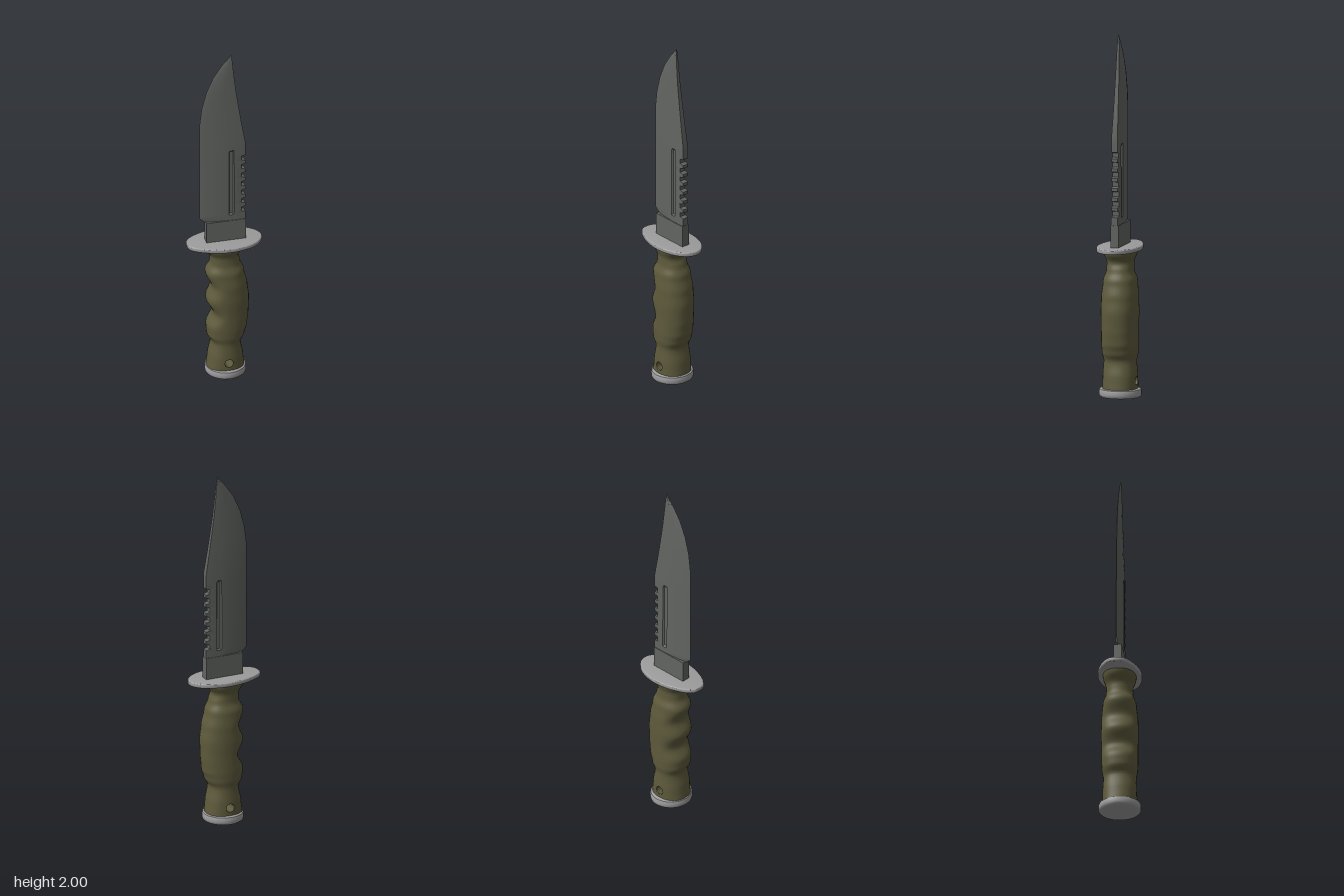
import * as THREE from 'three';
import { toCreasedNormals } from 'three/addons/utils/BufferGeometryUtils.js';

const steel = new THREE.MeshStandardMaterial({ color: 0x626562 });
steel.name = 'dark steel';
const metal = new THREE.MeshStandardMaterial({ color: 0x9c9c9c });
metal.name = 'light metal';
const grip = new THREE.MeshStandardMaterial({ color: 0x5e5a3c, side: THREE.DoubleSide });
grip.name = 'olive grip';

// Skin over closed rings (counter-clockwise from above, listed bottom to top), capped at both ends
function loft(rings, skip = () => false) {
  const n = rings[0].length, last = rings.length - 1, pos = rings.flat(2), idx = [];
  for (let i = 0; i < last; i++) {
    for (let j = 0; j < n; j++) {
      if (skip(i, j)) continue;
      const a = i * n + j, b = i * n + (j + 1) % n;
      idx.push(a, b, b + n, a, b + n, a + n);
    }
  }
  [0, last].forEach((i) => {
    const c = pos.length / 3;
    for (let k = 0; k < 3; k++) pos.push(rings[i].reduce((s, p) => s + p[k], 0) / n);
    for (let j = 0; j < n; j++) {
      const a = i * n + j, b = i * n + (j + 1) % n;
      if (i) idx.push(a, b, c); else idx.push(b, a, c);
    }
  });
  const g = new THREE.BufferGeometry();
  g.setAttribute('position', new THREE.Float32BufferAttribute(pos, 3));
  g.setIndex(idx);
  return g;
}

// Interpolates rows of [y, value, value, ...]
function sample(keys, y, smooth) {
  let i = 0;
  while (i < keys.length - 2 && y > keys[i + 1][0]) i++;
  const a = keys[i], b = keys[i + 1];
  let t = THREE.MathUtils.clamp((y - a[0]) / (b[0] - a[0]), 0, 1);
  if (smooth) t = t * t * (3 - 2 * t);
  return a.slice(1).map((v, k) => v + (b[k + 1] - v) * t);
}

function bladeGeometry() {
  // y, cutting edge x, spine x, half thickness
  const keys = [
    [0.95, -0.105, 0.115, 0.02], [0.98, -0.138, 0.115, 0.02], [1.44, -0.138, 0.115, 0.019],
    [1.58, -0.138, 0.092, 0.015], [1.68, -0.126, 0.077, 0.013], [1.78, -0.1, 0.063, 0.011],
    [1.87, -0.06, 0.053, 0.009], [1.94, -0.012, 0.046, 0.007], [2, 0.039, 0.041, 0.003],
  ];
  // y, saw notch depth, fuller depth
  const rows = [[0.95, 0, 0], [0.98, 0, 0], [0.992, 0, 0]];
  for (let k = 0; k < 7; k++) {
    const y = 1.02 + k * 0.054;
    rows.push([y - 0.018, 0, 1], [y - 0.012, 0.023, 1], [y + 0.012, 0.023, 1], [y + 0.018, 0, 1]);
  }
  rows.push([1.39, 0, 1], [1.4, 0, 0]);
  for (const k of keys.slice(2)) rows.push([k[0], 0, 0]);
  // position across the blade, thickness factor, 1 inside the fuller
  const cols = [[0, 0, 0], [0.14, 0.5, 0], [0.5, 0.9, 0], [0.63, 1, 0], [0.655, 1, 1],
    [0.725, 1, 1], [0.75, 1, 0], [0.89, 1, 0], [1, 0.9, 0]];
  const rings = rows.map(([y, notch, fuller]) => {
    const [xl, xr, t] = sample(keys, y);
    const side = (s) => cols.map(([u, f, g], j) => [
      xl + u * (xr - xl) - (j === cols.length - 1 ? notch : 0), y, s * (t * f - g * fuller * 0.008)]);
    return [...side(1), ...side(-1).slice(1).reverse()];
  });
  return toCreasedNormals(loft(rings), 0.5);
}

const N = 32, HOLE = { x: 0.005, y: 0.09, r: 0.025 };

function handleGeometry() {
  // y, finger side x, palm side x, half depth
  const keys = [
    [0.04, -0.1, 0.108, 0.095], [0.1, -0.092, 0.102, 0.095], [0.2, -0.074, 0.086, 0.09],
    [0.25, -0.098, 0.11, 0.098], [0.3, -0.101, 0.125, 0.1], [0.38, -0.066, 0.132, 0.1],
    [0.47, -0.102, 0.135, 0.102], [0.55, -0.074, 0.126, 0.1], [0.64, -0.106, 0.108, 0.092],
    [0.7, -0.08, 0.086, 0.074], [0.74, -0.08, 0.072, 0.073], [0.8, -0.115, 0.105, 0.09],
    [0.815, -0.118, 0.108, 0.092],
  ];
  const ys = [0.04, 0.065, 0.09, 0.115];
  while (ys[ys.length - 1] < 0.81) ys.push(ys[ys.length - 1] + 0.0125);
  const power = (v) => Math.sign(v) * Math.abs(v) ** 0.88;
  const rings = ys.map((y) => {
    const [xl, xr, d] = sample(keys, y, true);
    return Array.from({ length: N }, (_, j) => {
      const a = (j / N) * Math.PI * 2, c = power(Math.cos(a));
      return [HOLE.x + c * (c > 0 ? xr - HOLE.x : HOLE.x - xl), y, -power(Math.sin(a)) * d];
    });
  });
  // Round the grid around the lanyard hole, on the back and the front
  for (const q of [N / 4, (3 * N) / 4]) {
    const dir = q > N / 2 ? 1 : -1;
    for (let di = -1; di <= 1; di++) {
      for (let dj = -1; dj <= 1; dj++) {
        if (!di && !dj) continue;
        const l = HOLE.r / Math.hypot(di, dj), p = rings[2 + di][q + dj];
        p[0] = HOLE.x + dir * dj * l;
        p[1] = HOLE.y + di * l;
      }
    }
  }
  const inHole = (i, j) => (i === 1 || i === 2) && [N / 4, (3 * N) / 4].some((q) => j === q || j === q - 1);
  return toCreasedNormals(loft(rings, inHole), 0.8);
}

function guardGeometry() {
  // Egg outline, mirrored across the blade plane
  const half = [[-0.21, 0], [-0.204, 0.035], [-0.175, 0.064], [-0.12, 0.092], [-0.05, 0.113],
    [0.02, 0.12], [0.09, 0.11], [0.15, 0.087], [0.195, 0.046], [0.21, 0]];
  const pts = [...half, ...half.slice(1, -1).reverse().map(([x, z]) => [x, -z])]
    .map(([x, z]) => new THREE.Vector3(x, z, 0));
  const outline = new THREE.CatmullRomCurve3(pts, true).getPoints(56).slice(0, -1);
  const g = new THREE.ExtrudeGeometry(new THREE.Shape(outline.map((p) => new THREE.Vector2(p.x, p.y))), {
    depth: 0.013, bevelThickness: 0.006, bevelSize: 0.006, bevelOffset: -0.006, bevelSegments: 3,
  });
  g.rotateX(-Math.PI / 2);
  g.translate(0, 0.816, 0);
  return toCreasedNormals(g, 0.7);
}

export function createModel() {
  const model = new THREE.Group();
  model.name = 'knife';
  const add = (name, geometry, material) => {
    const m = new THREE.Mesh(geometry, material);
    m.name = name;
    model.add(m);
    return m;
  };

  add('blade', bladeGeometry(), steel);
  add('bladeBase', new THREE.BoxGeometry(0.221, 0.135, 0.046), steel).position.set(0.006, 0.89, 0);
  add('guard', guardGeometry(), metal);
  add('handle', handleGeometry(), grip);

  // Lining of the lanyard hole
  const lining = new THREE.CylinderGeometry(HOLE.r, HOLE.r, 0.186, 8, 1, true);
  lining.rotateX(Math.PI / 2);
  add('lanyardHole', lining, grip).position.set(HOLE.x, HOLE.y, 0);

  // Rounded end cap
  const profile = [[0, 0], [0.92, 0], [0.98, 0.006], [1, 0.016], [1, 0.032], [0.97, 0.043], [0.9, 0.047], [0, 0.047]];
  const cap = new THREE.LatheGeometry(profile.map(([x, y]) => new THREE.Vector2(x, y)), 40);
  cap.scale(0.114, 1, 0.117);
  add('pommel', toCreasedNormals(cap, 0.8), metal).position.x = 0.006;

  return model;
}
